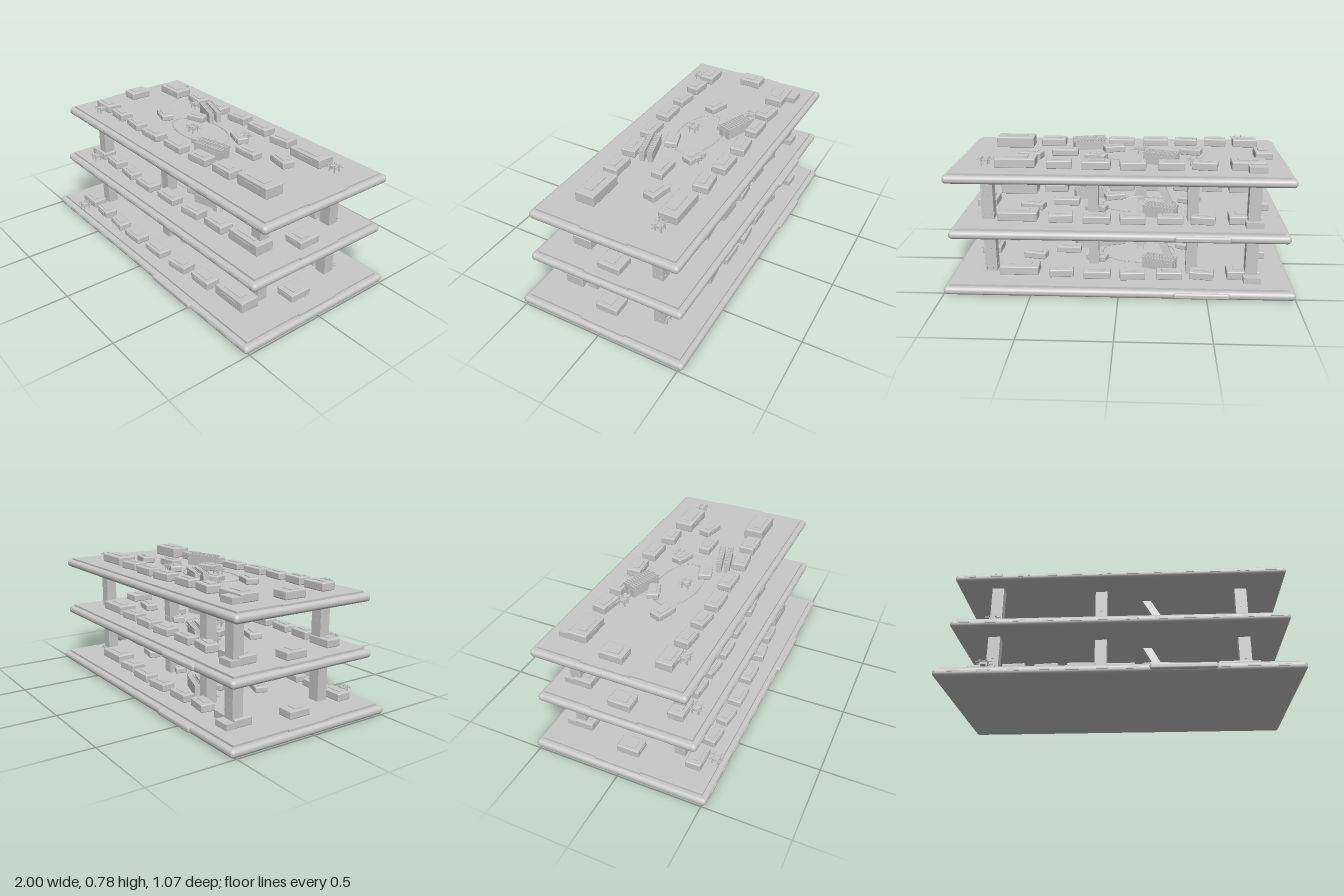
import * as THREE from 'three';
import { RoundedBoxGeometry } from 'three/addons/geometries/RoundedBoxGeometry.js';

const plaster = new THREE.MeshStandardMaterial({ color: 0xc8c8c8 });
plaster.name = 'pale grey';

function add(parent, name, geometry, x, y, z, ry = 0) {
  const m = new THREE.Mesh(geometry, plaster);
  m.name = name;
  m.position.set(x, y, z);
  m.rotation.y = ry;
  parent.add(m);
  return m;
}
const box = (p, name, w, h, d, x, y, z, ry) => add(p, name, new THREE.BoxGeometry(w, h, d), x, y, z, ry);
const rounded = (p, name, w, h, d, x, y, z, ry, r) =>
  add(p, name, new RoundedBoxGeometry(w, h, d, 4, r), x, y, z, ry);

// Floors: half width, front and back z, underside y, slab top y, plan stretch in z (slope, shift)
const floors = [
  { hx: 1.0, zf: 0.523, zb: -0.527, y0: 0, top: 0.058, k: 1.36, s: 0.077 },
  { hx: 0.957, zf: 0.448, zb: -0.497, y0: 0.33, top: 0.388, k: 1.12, s: 0.03 },
  { hx: 0.968, zf: 0.405, zb: -0.49, y0: 0.652, top: 0.708, k: 1, s: 0 },
];

// Shop booths: x, z, width, depth, height, turn in degrees
const booths = [
  [-0.72, -0.29, 0.19, 0.11, 0.048, 0], [-0.48, -0.31, 0.14, 0.085, 0.045, -8],
  [-0.29, -0.32, 0.15, 0.075, 0.045, 0], [-0.075, -0.325, 0.145, 0.085, 0.045, 5],
  [0.13, -0.32, 0.16, 0.085, 0.045, 0], [0.34, -0.305, 0.14, 0.09, 0.045, 6],
  [0.59, -0.283, 0.23, 0.112, 0.052, 0], [0.53, -0.118, 0.14, 0.075, 0.04, -12],
  [0.335, -0.043, 0.155, 0.07, 0.04, 0], [0.145, -0.134, 0.125, 0.07, 0.035, -18],
  [0.05, 0.06, 0.125, 0.075, 0.035, 18], [-0.257, -0.128, 0.12, 0.07, 0.035, 20],
  [-0.415, 0.01, 0.13, 0.075, 0.035, -18], [-0.835, -0.053, 0.1, 0.135, 0.045, 0],
  [-0.76, 0.22, 0.15, 0.09, 0.046, 0], [-0.577, 0.23, 0.13, 0.08, 0.045, -4],
  [-0.395, 0.235, 0.135, 0.075, 0.04, -6], [-0.205, 0.235, 0.155, 0.085, 0.04, 0],
  [0.01, 0.225, 0.16, 0.08, 0.04, 0], [0.235, 0.215, 0.14, 0.085, 0.045, 6],
  [0.433, 0.198, 0.15, 0.09, 0.048, 0], [0.668, 0.171, 0.23, 0.117, 0.064, 0],
];
const sideBooth = [0.82, -0.04, 0.12, 0.14, 0.045, 0];

function booth(parent, [x, z, w, d, h, deg], y) {
  const g = new THREE.Group();
  g.name = 'booth';
  g.position.set(x, y, z);
  g.rotation.y = THREE.MathUtils.degToRad(deg);
  rounded(g, 'boothBody', w, h, d, 0, h / 2, 0, 0, 0.006);
  box(g, 'boothLid', w * 0.6, 0.006, d * 0.45, 0, h + 0.001, d * 0.06);
  box(g, 'boothSign', w * 0.5, 0.014, 0.005, 0, h * 0.6, d / 2 + 0.001);
  parent.add(g);
}

// Seat cluster: crossed rails on four thin legs
function railCluster(parent, x, y, z) {
  const g = new THREE.Group();
  g.name = 'railCluster';
  g.position.set(x, y, z);
  for (const s of [-0.018, 0.018]) {
    box(g, 'rail', 0.09, 0.005, 0.006, 0, 0.034, s);
    box(g, 'rail', 0.006, 0.005, 0.075, s, 0.034, 0);
    for (const t of [-0.018, 0.018]) box(g, 'railLeg', 0.006, 0.045, 0.006, s, 0.022, t);
  }
  box(g, 'railTable', 0.035, 0.014, 0.035, 0, 0.026, 0);
  parent.add(g);
}

// Stair landing: two ribbed runs side by side
function landing(parent, x, y, z, deg) {
  const g = new THREE.Group();
  g.name = 'stairLanding';
  g.position.set(x, y, z);
  g.rotation.y = THREE.MathUtils.degToRad(deg);
  for (const s of [-0.024, 0.024]) {
    box(g, 'stairRun', 0.195, 0.05, 0.03, 0, 0.025, s);
    for (const e of [-0.016, 0.016]) box(g, 'stairSide', 0.2, 0.012, 0.004, 0, 0.064, s + e);
    for (let i = 0; i < 11; i++) box(g, 'stairTread', 0.009, 0.016, 0.032, -0.09 + i * 0.018, 0.058, s);
  }
  parent.add(g);
}

// Straight beam between two points
function beam(parent, name, a, b, w, d) {
  const p = new THREE.Vector3(...a), q = new THREE.Vector3(...b);
  const m = box(parent, name, w, p.distanceTo(q), d, 0, 0, 0);
  m.position.copy(p).add(q).multiplyScalar(0.5);
  m.quaternion.setFromUnitVectors(new THREE.Vector3(0, 1, 0), q.sub(p).normalize());
}

function buildFloor(f, level) {
  const g = new THREE.Group();
  g.name = ['lowerFloor', 'middleFloor', 'upperFloor'][level];
  const zc = (f.zf + f.zb) / 2, depth = f.zf - f.zb, rimH = 0.046, ry = f.y0 + rimH / 2;
  const mapZ = z => f.k * z + f.s;

  // Rounded rim and inset slab
  rounded(g, 'floorRim', f.hx * 2, rimH, depth, 0, ry, zc, 0, 0.021);
  const slabH = f.top - f.y0 - 0.02;
  box(g, 'floorSlab', f.hx * 2 - 0.066, slabH, depth - 0.06, 0, f.top - slabH / 2, zc);
  for (const s of [-1, 1]) box(g, 'edgeStrip', 0.012, 0.012, 0.28, s * (f.hx - 0.03), f.top - 0.006, zc - 0.01);

  // Edge lights along the front
  for (let i = 0; i < 12; i++)
    box(g, 'edgeLight', 0.07, 0.01, 0.008, -0.88 + i * 0.16, ry + 0.002, f.zf);

  // Entrance sills
  if (level < 2) rounded(g, 'backSill', 0.315, 0.034, 0.05, -0.47, ry, f.zb + 0.015, 0, 0.012);
  if (level === 0) rounded(g, 'frontSill', 0.36, 0.034, 0.05, 0.35, ry + 0.005, f.zf - 0.011, 0, 0.012);

  // Booths
  const list = level < 2 ? [...booths, sideBooth] : booths;
  for (const [x, z, ...rest] of list) booth(g, [x, mapZ(z), ...rest], f.top);
  box(g, 'boothAnnex', 0.1, 0.035, 0.06, -0.765, f.top + 0.0175, mapZ(-0.29) - 0.08);

  // Central ring
  const ring = add(g, 'centreRing', new THREE.TorusGeometry(0.228, 0.004, 6, 64), -0.107, f.top + 0.002, mapZ(-0.037));
  ring.rotation.x = Math.PI / 2;
  ring.scale.y = 0.56 * f.k;

  for (const [x, z] of [[0.77, -0.278], [-0.73, 0.29], [-0.42, -0.235], [-0.117, 0.01], [0.16, -0.16]])
    railCluster(g, x, f.top, mapZ(z));
  landing(g, -0.235, f.top, -0.215, -20);
  landing(g, 0.203, f.top, 0.12, 15);
  return g;
}

export function createModel() {
  const model = new THREE.Group();
  model.name = 'threeFloorHall';
  floors.forEach((f, i) => model.add(buildFloor(f, i)));

  // Columns: x, z, width
  const columns = [[-0.73, 0.27, 0.07], [-0.762, -0.343, 0.07], [0.72, 0.2, 0.07], [0.765, -0.275, 0.07],
    [-0.422, -0.27, 0.065], [-0.115, 0.2, 0.07], [0.163, -0.145, 0.06]];
  for (let i = 0; i < 2; i++) {
    const y0 = floors[i].top, y1 = floors[i + 1].y0 + 0.01;
    for (const [x, z, w] of columns) {
      box(model, 'column', w, y1 - y0, 0.066, x, (y0 + y1) / 2, z);
      box(model, 'columnPlate', 0.012, 0.012, 0.07, x, y0 + (y1 - y0) * 0.5, z);
    }
    // Sloping stairs between floors
    beam(model, 'slopingStair', [-0.315, y0, -0.19], [-0.195, y1, -0.165], 0.045, 0.035);
    beam(model, 'slopingStair', [0.29, y0, 0.145], [0.15, y1, 0.085], 0.045, 0.035);
  }
  return model;
}
